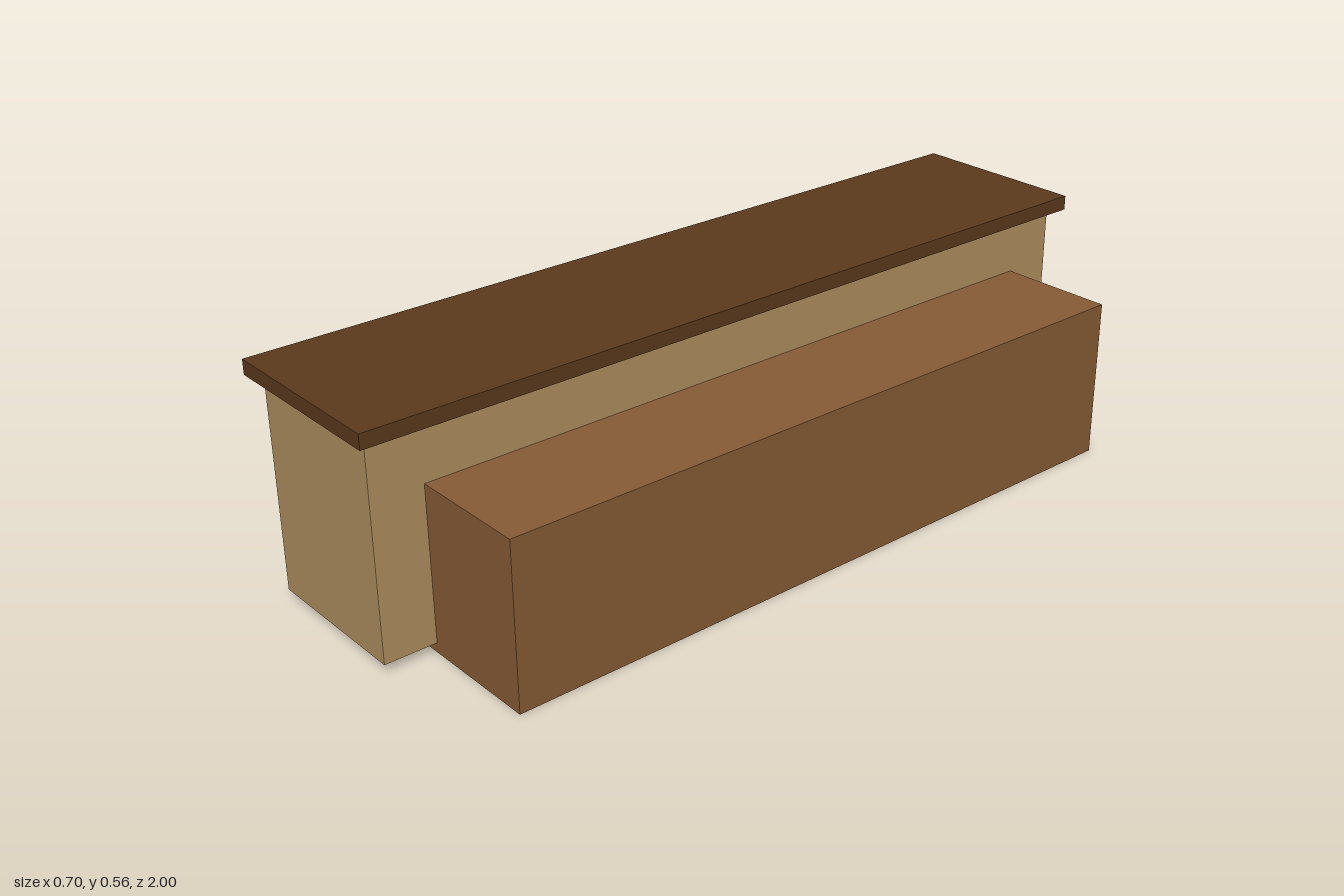
import * as THREE from 'three';

// Box given by its extents on x and y, and its half length on z
function block(name, color, [x0, x1], [y0, y1], halfZ) {
  const mesh = new THREE.Mesh(
    new THREE.BoxGeometry(x1 - x0, y1 - y0, halfZ * 2),
    new THREE.MeshStandardMaterial({ color })
  );
  mesh.name = name;
  mesh.position.set((x0 + x1) / 2, (y0 + y1) / 2, 0);
  return mesh;
}

export function createModel() {
  const model = new THREE.Group();
  model.name = 'counter';
  model.add(
    // Tall body, raised slightly off the floor
    block('counterBody', 0xb08f60, [-0.319, 0.063], [0.023, 0.521], 0.973),
    // Overhanging slab on top
    block('counterTop', 0x5c3a1c, [-0.35, 0.096], [0.521, 0.556], 1),
    // Lower front block, running partly into the body
    block('frontBlock', 0x875c36, [-0.032, 0.35], [0, 0.387], 0.85)
  );
  return model;
}
